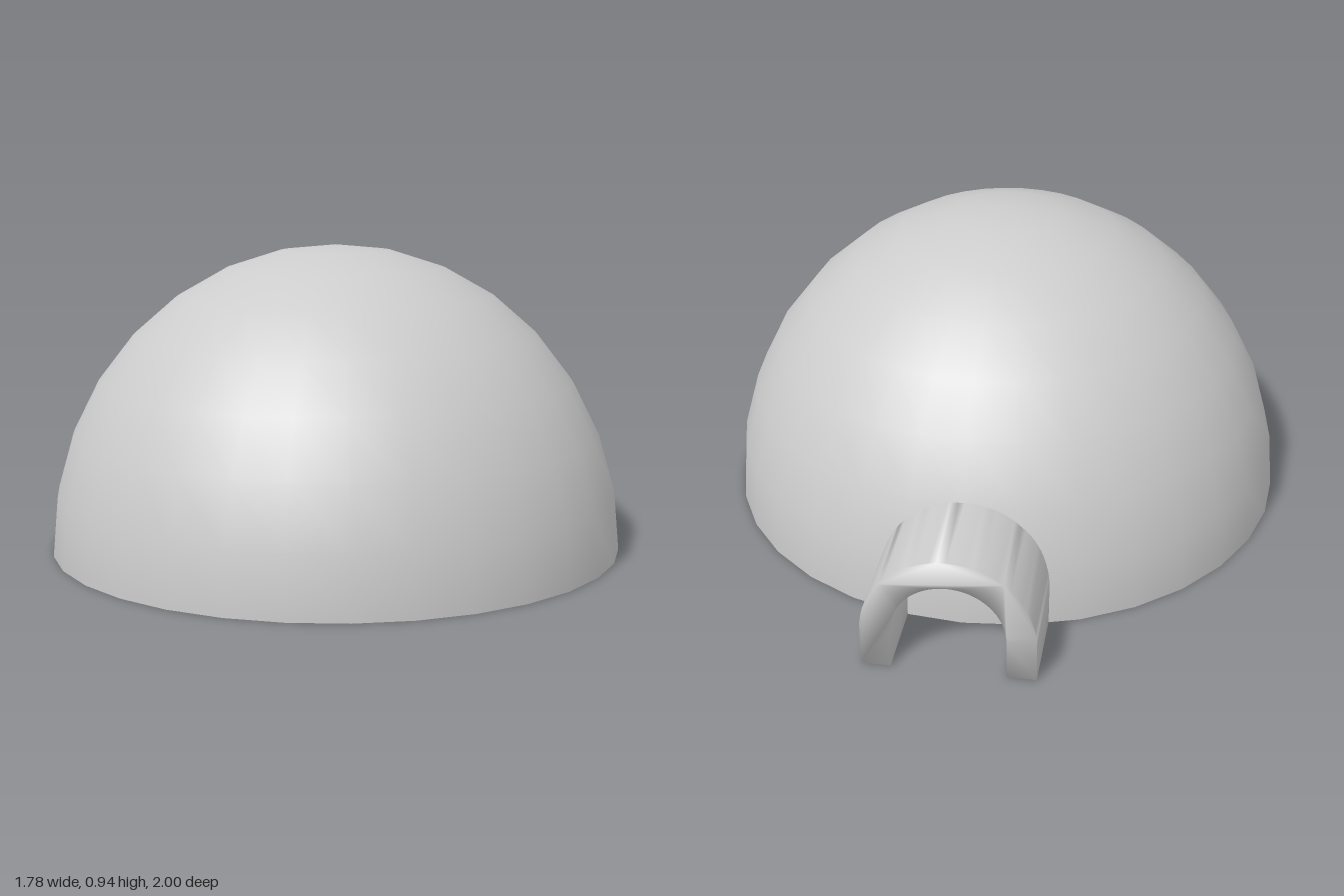
import * as THREE from 'three';
import { mergeVertices } from 'three/addons/utils/BufferGeometryUtils.js';

export function createModel() {
  const group = new THREE.Group();
  const snow = new THREE.MeshStandardMaterial({ color: 0xcccccc, side: THREE.DoubleSide });
  snow.name = 'snow grey';

  const add = (name, geometry) => {
    const mesh = new THREE.Mesh(geometry, snow);
    mesh.name = name;
    group.add(mesh);
  };

  // Dome: open-bottomed half sphere, slightly taller than its radius
  const dome = new THREE.SphereGeometry(1, 32, 8, 0, Math.PI * 2, 0, Math.PI / 2);
  dome.scale(0.89, 0.94, 0.89);
  dome.translate(0, 0, 0.11);
  add('dome', dome);

  // Entrance tunnel: thick arch on short straight legs, running into the dome wall
  const outer = 0.25, inner = 0.165, spring = 0.12;
  const arch = new THREE.Shape();
  arch.moveTo(outer, 0);
  arch.lineTo(outer, spring);
  arch.absarc(0, spring, outer, 0, Math.PI, false);
  arch.lineTo(-outer, 0);
  arch.lineTo(-inner, 0);
  arch.lineTo(-inner, spring);
  arch.absarc(0, spring, inner, Math.PI, 0, true);
  arch.lineTo(inner, 0);
  arch.closePath();
  let tunnel = new THREE.ExtrudeGeometry(arch, { depth: 0.4, bevelEnabled: false, curveSegments: 16 });
  tunnel.translate(0, 0, -1);

  // Shared vertices give the tunnel its soft, rounded-looking lip
  tunnel.deleteAttribute('normal');
  tunnel.deleteAttribute('uv');
  tunnel = mergeVertices(tunnel, 1e-4);
  tunnel.clearGroups();
  tunnel.computeVertexNormals();
  add('entranceTunnel', tunnel);

  return group;
}
